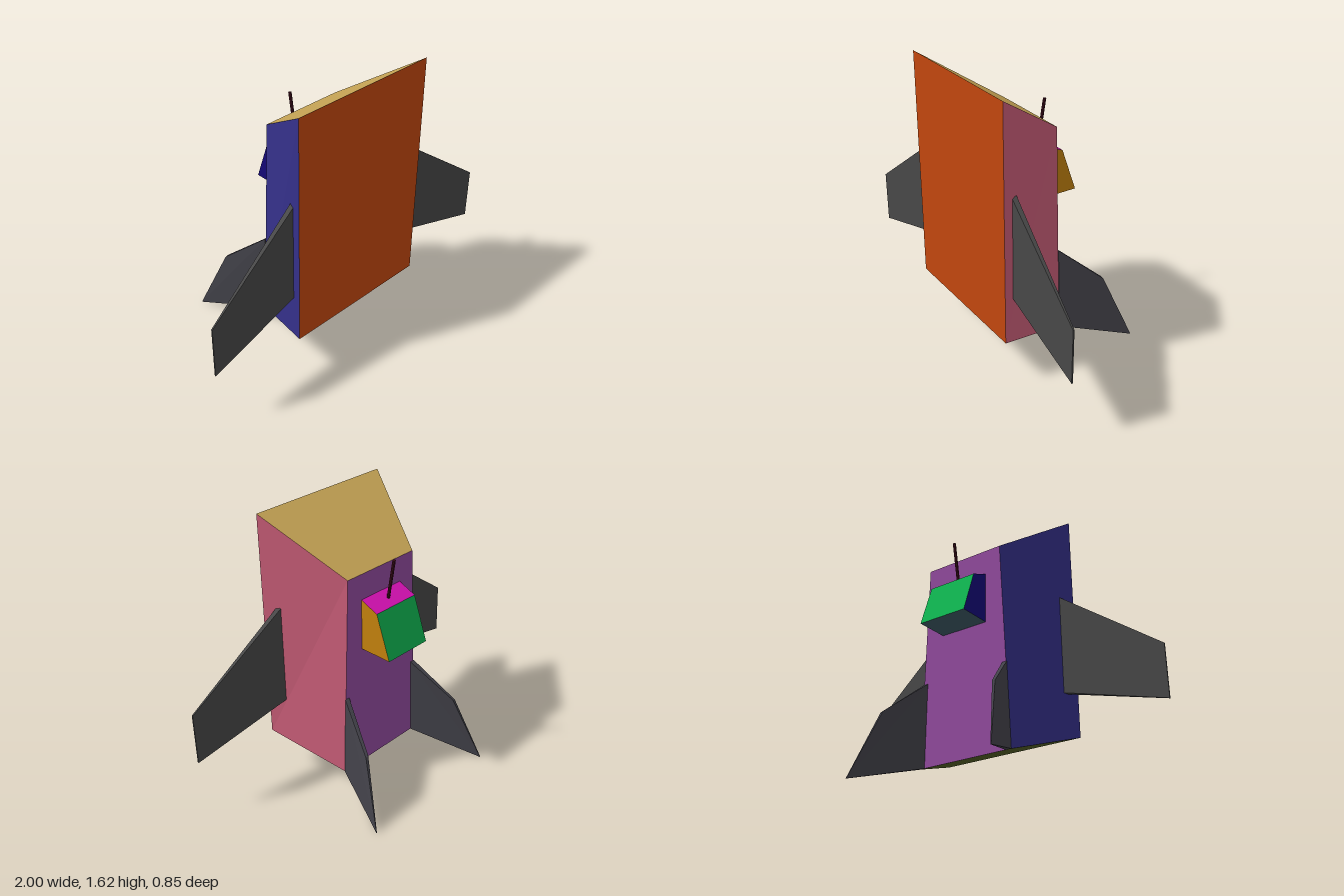
import * as THREE from 'three';

const V = (x, y, z) => new THREE.Vector3(x, y, z);

const material = (color) =>
  new THREE.MeshStandardMaterial({ color, flatShading: true });

// One flat-shaded mesh from quads, each turned to face away from the centre
function quadMesh(name, quads, centre, color) {
  const pos = [];
  for (const [a, b, c, d] of quads) {
    const mid = a.clone().add(b).add(c).add(d).multiplyScalar(0.25);
    const normal = c.clone().sub(a).cross(d.clone().sub(b));
    const outward = normal.dot(mid.sub(centre)) > 0;
    const tris = outward ? [a, b, c, a, c, d] : [a, c, b, a, d, c];
    for (const p of tris) pos.push(p.x, p.y, p.z);
  }
  const geo = new THREE.BufferGeometry();
  geo.setAttribute('position', new THREE.Float32BufferAttribute(pos, 3));
  geo.computeVertexNormals();
  const mesh = new THREE.Mesh(geo, material(color));
  mesh.name = name;
  return mesh;
}

// Six quads joining two four-point loops: first cap, second cap, four sides
function loft(a, b) {
  const quads = [a, b];
  for (let i = 0; i < 4; i++) {
    const j = (i + 1) % 4;
    quads.push([a[i], b[j], b[i]].length && [a[i], a[j], b[j], b[i]]);
  }
  const centre = V(0, 0, 0);
  for (const p of [...a, ...b]) centre.addScaledVector(p, 1 / 8);
  return { quads, centre };
}

// Solid with a separately coloured and named panel per face
function panelSolid(name, a, b, panels) {
  const group = new THREE.Group();
  group.name = name;
  const { quads, centre } = loft(a, b);
  panels.forEach(([label, color], i) =>
    group.add(quadMesh(label, [quads[i]], centre, color)));
  return group;
}

// Single-colour fin, mirrored by the sign of x
function fin(name, side, a, b, color) {
  const flip = (loop) => loop.map(([x, y, z]) => V(side * x, y, z));
  const { quads, centre } = loft(flip(a), flip(b));
  return quadMesh(name, quads, centre, color);
}

export function createModel() {
  const model = new THREE.Group();
  model.name = 'finnedPack';

  // Tapered body: front loop to back loop, from top left round
  model.add(panelSolid('body',
    [V(0.45, 1.63, 0.425), V(-0.45, 1.63, 0.425), V(-0.45, 0.27, 0.425), V(0.45, 0.27, 0.425)],
    [V(0.25, 1.33, -0.025), V(-0.25, 1.33, -0.025), V(-0.3, 0.12, -0.025), V(0.3, 0.12, -0.025)],
    [
      ['bodyFront', 0xc2470e], ['bodyBack', 0x924a9e], ['bodyTop', 0xc8a656],
      ['bodyRightSide', 0x35308a], ['bodyBottom', 0x556026], ['bodyLeftSide', 0xcc5f7a],
    ]));

  // Box on the back
  model.add(panelSolid('backBox',
    [V(0.15, 1.18, -0.025), V(-0.15, 1.18, -0.025), V(-0.15, 0.88, -0.025), V(0.15, 0.88, -0.025)],
    [V(0.15, 1.135, -0.135), V(-0.15, 1.135, -0.135), V(-0.15, 0.88, -0.225), V(0.15, 0.88, -0.225)],
    [
      ['boxInner', 0x924a9e], ['boxBack', 0x0fb450], ['boxTop', 0xcf10ae],
      ['boxRightSide', 0x140878], ['boxBottom', 0x3d5a66], ['boxLeftSide', 0xc4820e],
    ]));

  // Antenna leaning back from the box
  const from = V(0, 1.14, -0.076), to = V(0, 1.39, -0.118);
  const dir = to.clone().sub(from);
  const antenna = new THREE.Mesh(
    new THREE.CylinderGeometry(0.009, 0.009, dir.length(), 8), material(0x45101f));
  antenna.name = 'antenna';
  antenna.position.copy(from).lerp(to, 0.5);
  antenna.quaternion.setFromUnitVectors(V(0, 1, 0), dir.normalize());
  model.add(antenna);

  for (const side of [1, -1]) {
    const label = side > 0 ? 'left' : 'right';

    // Side wing: root section to thin tip section
    model.add(fin(label + 'Wing', side,
      [[0.41, 1.1, 0.327], [0.41, 1.1, 0.357], [0.41, 0.51, 0.357], [0.41, 0.51, 0.327]],
      [[1, 0.67, 0.39], [1, 0.67, 0.398], [1, 0.36, 0.398], [1, 0.36, 0.39]],
      0x484848));

    // Rear fin: outer face to inner face, closing to a point at the foot
    model.add(fin(label + 'RearFin', side,
      [[0.285, 0.61, -0.025], [0.38, 0.395, -0.27], [0.462, 0.005, -0.425], [0.302, 0.12, -0.025]],
      [[0.255, 0.61, -0.025], [0.362, 0.4, -0.27], [0.458, 0.005, -0.425], [0.268, 0.12, -0.025]],
      0x43424a));
  }

  return model;
}
